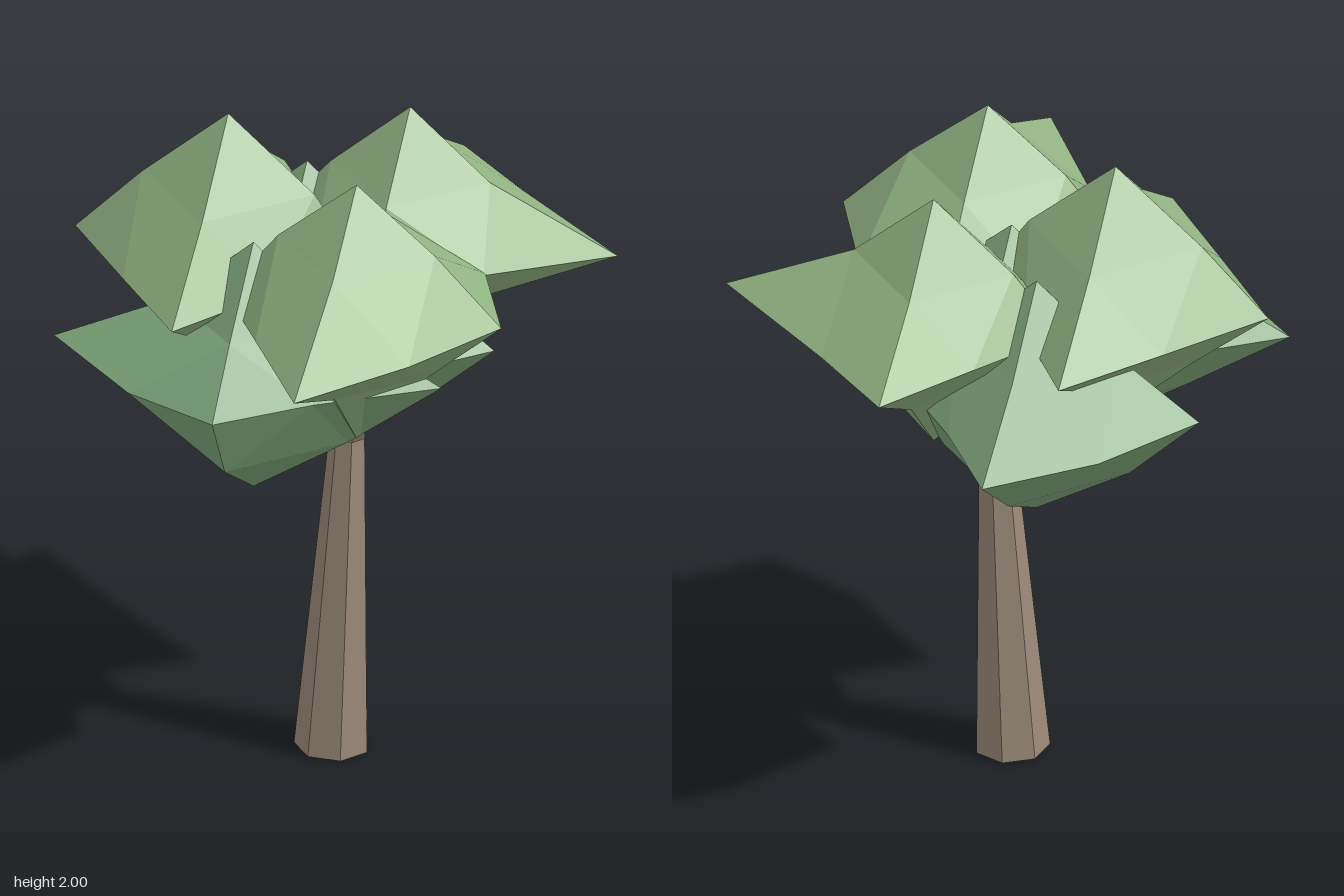
import * as THREE from 'three';

const material = (color) => new THREE.MeshStandardMaterial({ color, flatShading: true });

// Low-poly leaf clump: a once-divided octahedron.
// tips: lengths toward +x, -x, +y, -y, +z, -z
// rim: [x, z] sizes of the level corners in quadrants ++, +-, -+, --
// upper, lower: [outward, vertical] sizes of the sloping edge midpoints
function leafClump({ name, mat, position, tips, rim, upper, lower }) {
  const geometry = new THREE.OctahedronGeometry(1, 1);
  const p = geometry.attributes.position;
  for (let i = 0; i < p.count; i++) {
    const c = [p.getX(i), p.getY(i), p.getZ(i)];
    const [x, y, z] = c.map((n) => (Math.abs(n) < 0.1 ? 0 : Math.sign(n)));
    const axis = c.findIndex((n) => Math.abs(n) > 0.9);
    if (axis >= 0) {
      const length = tips[axis * 2 + (c[axis] < 0 ? 1 : 0)];
      p.setXYZ(i, x * length, y * length, z * length);
    } else if (y === 0) {
      const [rx, rz] = rim[(x < 0 ? 2 : 0) + (z < 0 ? 1 : 0)];
      p.setXYZ(i, x * rx, 0, z * rz);
    } else {
      const [out, rise] = y > 0 ? upper : lower;
      p.setXYZ(i, x * out, y * rise, z * out);
    }
  }
  geometry.computeVertexNormals();
  const mesh = new THREE.Mesh(geometry, mat);
  mesh.name = name;
  mesh.position.set(...position);
  return mesh;
}

export function createModel() {
  const tree = new THREE.Group();
  tree.name = 'tree';

  // Seven-sided open trunk, tapering and leaning slightly
  const trunkGeometry = new THREE.CylinderGeometry(0.054, 0.111, 1, 7, 1, true, THREE.MathUtils.degToRad(80));
  trunkGeometry.translate(0, 0.5, 0);
  const lean = new THREE.Matrix4().set(
    1, 0.042, 0, -0.007,
    -0.03, 1, 0, 0.008,
    0, -0.015, 1, -0.045,
    0, 0, 0, 1);
  trunkGeometry.applyMatrix4(lean);
  const bark = material(0x9a8a79);
  bark.side = THREE.DoubleSide;
  const trunk = new THREE.Mesh(trunkGeometry, bark);
  trunk.name = 'trunk';
  tree.add(trunk);

  // Three upper clumps and three lower ones
  const light = material(0x93b584);
  const dark = material(0x80a87c);
  const clumps = [
    {
      name: 'upperRightClump', mat: light, position: [-0.32, 1.57, -0.045],
      tips: [0.4, 0.46, 0.43, 0.4, 0.565, 0.565],
      rim: [[0.19, 0.28], [0.19, 0.28], [0.23, 0.285], [0.23, 0.285]],
      upper: [0.26, 0.205], lower: [0.23, 0.19],
    },
    {
      name: 'upperFrontClump', mat: light, position: [0.147, 1.57, 0.225],
      tips: [0.435, 0.4, 0.4, 0.42, 0.625, 0.45],
      rim: [[0.25, 0.31], [0.29, 0.32], [0.22, 0.28], [0.22, 0.28]],
      upper: [0.235, 0.205], lower: [0.215, 0.19],
    },
    {
      name: 'upperBackClump', mat: light, position: [0.147, 1.57, -0.31],
      tips: [0.625, 0.39, 0.39, 0.42, 0.36, 0.54],
      rim: [[0.29, 0.23], [0.24, 0.32], [0.22, 0.24], [0.2, 0.26]],
      upper: [0.24, 0.18], lower: [0.22, 0.19],
    },
    {
      name: 'lowerFrontClump', mat: dark, position: [-0.163, 1.35, 0.225],
      tips: [0.565, 0.6, 0.39, 0.4, 0.412, 0.42],
      rim: [[0.24, 0.21], [0.25, 0.24], [0.29, 0.288], [0.3, 0.205]],
      upper: [0.24, 0.175], lower: [0.285, 0.215],
    },
    {
      name: 'lowerBackClump', mat: dark, position: [-0.163, 1.35, -0.31],
      tips: [0.42, 0.49, 0.39, 0.37, 0.42, 0.54],
      rim: [[0.23, 0.23], [0.18, 0.28], [0.25, 0.2], [0.28, 0.305]],
      upper: [0.24, 0.18], lower: [0.28, 0.205],
    },
    {
      name: 'lowerLeftClump', mat: dark, position: [-0.007, 1.35, -0.045],
      tips: [0.487, 0.45, 0.4, 0.39, 0.4, 0.4],
      rim: [[0.25, 0.23], [0.25, 0.23], [0.25, 0.23], [0.25, 0.23]],
      upper: [0.24, 0.19], lower: [0.265, 0.195],
    },
  ];
  const foliage = new THREE.Group();
  foliage.name = 'foliage';
  for (const clump of clumps) foliage.add(leafClump(clump));
  tree.add(foliage);
  return tree;
}
